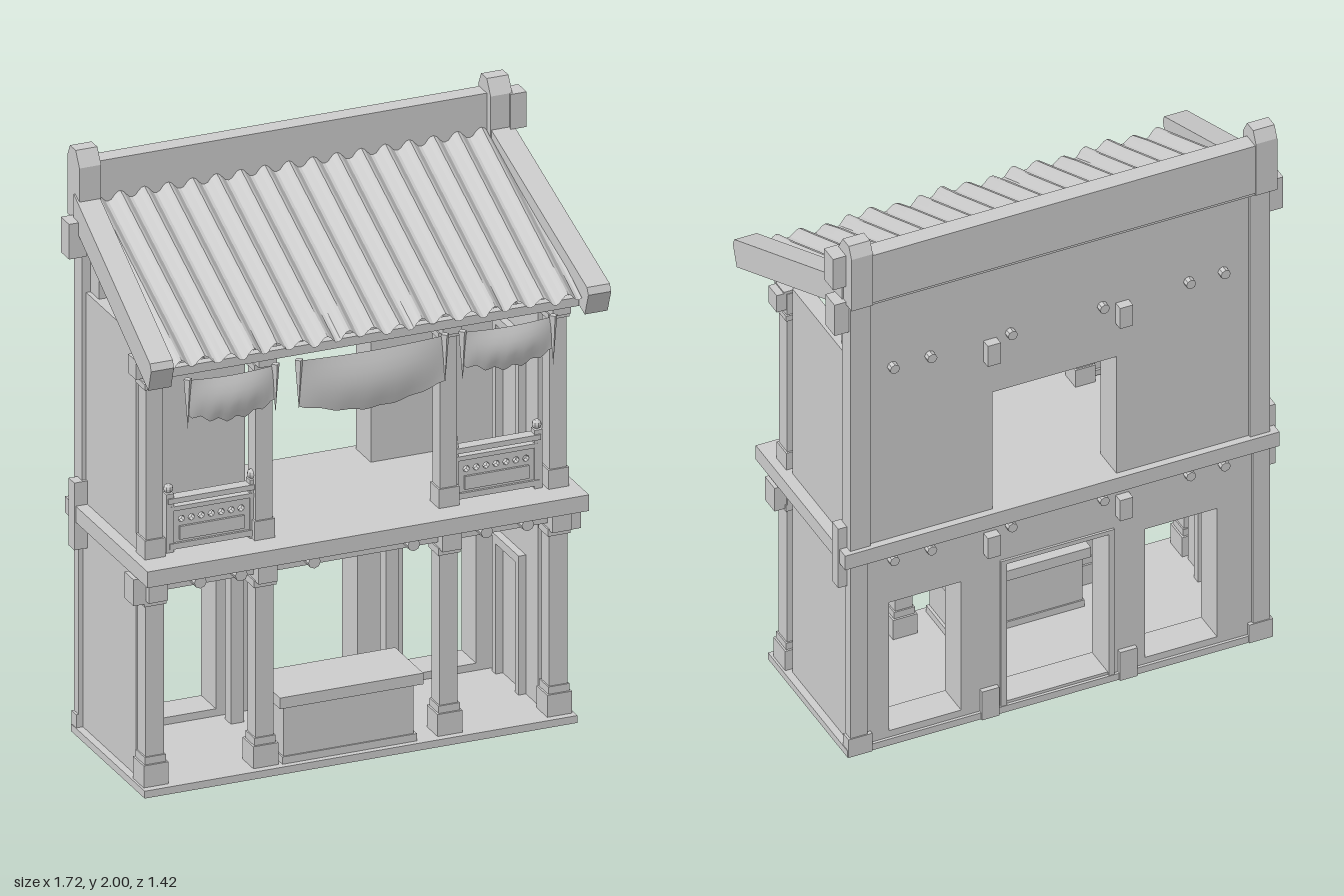
import * as THREE from 'three';

const plaster = new THREE.MeshStandardMaterial({ color: 0xcccccc, flatShading: true });
plaster.name = 'plain grey';
const cloth = new THREE.MeshStandardMaterial({ color: 0xcccccc, side: THREE.DoubleSide });
cloth.name = 'grey cloth';

export function createModel() {
  const root = new THREE.Group();
  root.name = 'twoStoreyHouse';
  const house = new THREE.Group();
  house.name = 'house';
  house.rotation.y = -Math.PI / 6;
  root.add(house);

  const add = (name, geo, mat = plaster) => {
    const m = new THREE.Mesh(geo, mat);
    m.name = name;
    house.add(m);
    return m;
  };
  // box given by its min and max on each axis
  const box = (name, x0, x1, y0, y1, z0, z1) => {
    const m = add(name, new THREE.BoxGeometry(x1 - x0, y1 - y0, z1 - z0));
    m.position.set((x0 + x1) / 2, (y0 + y1) / 2, (z0 + z1) / 2);
    return m;
  };
  const block = (name, x, z, w, d, y0, y1) => box(name, x - w / 2, x + w / 2, y0, y1, z - d / 2, z + d / 2);
  // extrusion of a (z, y) side profile across x0..x1, splayed outwards towards the front
  const sideExtrude = (name, pts, x0, x1, splay = 0) => {
    const s = new THREE.Shape(pts.map(([z, y]) => new THREE.Vector2(-z, y)));
    const g = new THREE.ExtrudeGeometry(s, { depth: x1 - x0, bevelEnabled: false });
    g.rotateY(Math.PI / 2);
    g.translate(x0, 0, 0);
    const p = g.attributes.position;
    for (let i = 0; i < p.count; i++) p.setX(i, p.getX(i) + splay * p.getZ(i));
    return add(name, g);
  };

  // floors
  box('groundSlab', -0.74, 0.74, 0, 0.025, -0.37, 0.205);
  box('balconySlab', -0.755, 0.755, 0.745, 0.8, -0.385, 0.262);

  // back wall with door, side openings and upper window
  const wall = new THREE.Shape();
  wall.moveTo(-0.7, 0.02).lineTo(0.7, 0.02).lineTo(0.7, 1.755).lineTo(-0.7, 1.755).closePath();
  for (const [x0, x1, y0, y1] of [[0.34, 0.59, 0.05, 0.55], [-0.17, 0.185, 0.035, 0.58], [-0.55, -0.3, 0.05, 0.55], [-0.2, 0.23, 0.8, 1.255]]) {
    const h = new THREE.Path();
    h.moveTo(x0, y0).lineTo(x0, y1).lineTo(x1, y1).lineTo(x1, y0).closePath();
    wall.holes.push(h);
  }
  add('backWall', new THREE.ExtrudeGeometry(wall, { depth: 0.115, bevelEnabled: false })).position.z = -0.36;

  // door frame on the back
  box('doorFrame', -0.19, 0.205, 0.575, 0.59, -0.368, -0.35);
  for (const x of [-0.18, 0.195]) box('doorFrame', x - 0.01, x + 0.01, 0.02, 0.58, -0.368, -0.35);
  for (const x of [-0.235, 0.245]) block('backPlinth', x, -0.362, 0.06, 0.03, 0.0, 0.11);

  // joist ends on the back
  for (const y of [0.72, 1.47]) {
    for (const x of [-0.22, 0.24]) block('backJoist', x, -0.37, 0.045, 0.045, y - 0.085, y - 0.005);
    for (const x of [-0.57, -0.45, -0.15, 0.17, 0.45, 0.58]) {
      const g = new THREE.CylinderGeometry(0.017, 0.017, 0.03, 8).rotateX(Math.PI / 2);
      add('backLogEnd', g).position.set(x, y, -0.367);
    }
  }

  for (const s of [-1, 1]) {
    const bx = (name, a, b, ...r) => box(name, Math.min(s * a, s * b), Math.max(s * a, s * b), ...r);
    // side walls and back corner posts
    bx('sideWall', 0.66, 0.715, 0.02, 1.52, -0.36, 0.08);
    bx('lowerCornerPost', 0.67, 0.73, 0.0, 0.75, -0.37, -0.335);
    bx('upperCornerPost', 0.66, 0.73, 0.79, 1.765, -0.37, -0.31);
    bx('cornerPostFoot', 0.655, 0.738, 0.0, 0.07, -0.374, -0.335);
    // inner door frame on the side wall
    for (const y of [0.02, 0.8]) {
      const h = y < 0.5 ? 0.47 : 1.22;
      for (const z of [-0.21, -0.03]) bx('innerJamb', 0.635, 0.66, y, h, z - 0.015, z + 0.015);
      bx('innerLintel', 0.635, 0.66, h, h + 0.03, -0.225, -0.015);
    }
    // projecting beam ends
    bx('beamEnd', 0.7, 0.765, 0.65, 0.74, 0.105, 0.175);
    bx('beamEnd', 0.7, 0.755, 1.42, 1.485, 0.11, 0.17);
    bx('backBeamEnd', 0.71, 0.76, 0.65, 0.88, -0.345, -0.3);
    bx('backBeamEnd', 0.72, 0.78, 1.65, 1.77, -0.36, -0.295);
    // sloping gable border
    sideExtrude('gableBorder', [[-0.34, 1.85], [0.352, 1.553], [0.362, 1.53], [0.337, 1.455], [-0.34, 1.745]], s > 0 ? 0.687 : -0.765, s > 0 ? 0.765 : -0.687, s * 0.06);
    // ridge end post with chamfered head
    sideExtrude('ridgePost', [[-0.4, 1.76], [-0.4, 1.96], [-0.38, 2], [-0.335, 2], [-0.305, 1.95], [-0.305, 1.76]], s * 0.703 - 0.037, s * 0.703 + 0.037);
  }
  box('ridgeBeamEnd', 0.73, 0.785, 1.83, 1.95, -0.36, -0.295);

  // ridge beam
  box('ridgeBeam', -0.72, 0.72, 1.765, 1.95, -0.395, -0.335);
  box('ridgeFoot', -0.72, 0.72, 1.75, 1.775, -0.385, -0.3);

  // ribbed tile roof: an open sheet with scalloped section running down the slope
  const ribs = 17, steps = 8;
  const roofGeo = new THREE.PlaneGeometry(1.4, 0.67, ribs * steps, 6).rotateX(-Math.PI / 2);
  const rp = roofGeo.attributes.position;
  for (let i = 0; i < rp.count; i++) {
    const x = rp.getX(i), z = rp.getZ(i);
    const t = ((i % (ribs * steps + 1)) / steps) % 1;
    const h = t < 0.7 ? 0.025 * Math.sin((Math.PI * t) / 0.7) : -0.004 * Math.sin((Math.PI * (t - 0.7)) / 0.3);
    const ragged = z > 0.3 ? 0.01 * Math.sin(x * 23) : 0;
    rp.setXYZ(i, x, h + 1.812 - 0.45 * (z + 0.335), z + ragged);
  }
  roofGeo.computeVertexNormals();
  add('tileRoof', roofGeo);

  // beams under the eave
  box('wallPlate', -0.73, 0.73, 1.43, 1.49, 0.11, 0.17);
  box('eavePurlin', -0.7, 0.7, 1.475, 1.505, 0.28, 0.31);

  // front columns on both floors
  for (const x of [-0.69, -0.315, 0.315, 0.69]) {
    const z = 0.138;
    block('columnFoot', x, z, 0.085, 0.085, 0.02, 0.1);
    block('columnFootTop', x, z, 0.072, 0.072, 0.1, 0.125);
    block('lowerColumn', x, z, 0.062, 0.062, 0.12, 0.66);
    block('columnCollar', x, z, 0.076, 0.076, 0.64, 0.665);
    block('columnHead', x, z + 0.01, 0.066, 0.1, 0.66, 0.75);
    block('upperColumnFoot', x, z, 0.07, 0.07, 0.8, 0.865);
    block('upperColumn', x, z, 0.058, 0.058, 0.86, 1.45);
    block('upperCollar', x, z, 0.072, 0.072, 1.38, 1.4);
    block('upperColumnHead', x, z + 0.015, 0.062, 0.09, 1.4, 1.48);
  }
  box('floorBeam', -0.73, 0.73, 0.68, 0.75, 0.115, 0.16);
  // round log ends in front
  for (const y of [0.718, 1.468]) {
    for (const x of [-0.56, -0.42, -0.17, 0.17, 0.42, 0.56]) {
      const g = new THREE.CylinderGeometry(0.021, 0.021, 0.1, 8).rotateX(Math.PI / 2);
      add('frontLogEnd', g).position.set(x, y, 0.18);
    }
  }

  // balcony railings with pierced panels
  for (const s of [-1, 1]) {
    const c = s * 0.487, z = 0.137;
    const panel = new THREE.Shape();
    panel.moveTo(-0.135, 0.825).lineTo(0.135, 0.825).lineTo(0.135, 0.945).lineTo(-0.135, 0.945).closePath();
    for (let i = -3; i <= 3; i++) {
      const h = new THREE.Path();
      h.absarc(i * 0.034, 0.908, 0.011, 0, Math.PI * 2, true);
      panel.holes.push(h);
    }
    const g = new THREE.ExtrudeGeometry(panel, { depth: 0.02, bevelEnabled: false, curveSegments: 4 });
    add('railPanel', g).position.set(c, 0, z - 0.01);
    box('railFrame', c - 0.11, c + 0.11, 0.84, 0.885, z + 0.01, z + 0.018);
    box('lowerRail', c - 0.145, c + 0.145, 0.81, 0.83, z - 0.018, z + 0.018);
    box('midRail', c - 0.145, c + 0.145, 0.94, 0.955, z - 0.016, z + 0.016);
    box('topRail', c - 0.15, c + 0.15, 0.967, 0.985, z - 0.02, z + 0.02);
    for (const e of [-1, 1]) {
      block('railPost', c + e * 0.143, z, 0.026, 0.03, 0.8, 1.0);
      add('railKnob', new THREE.SphereGeometry(0.016, 8, 6)).position.set(c + e * 0.143, 1.015, z);
    }
  }

  // sagging cloths hung below the eave
  for (const [x0, x1, drop, fray] of [[-0.63, -0.33, 0.15, 0.007], [-0.25, 0.25, 0.195, 0.003], [0.31, 0.62, 0.14, 0.007]]) {
    const g = new THREE.PlaneGeometry(1, 1, 20, 6);
    const p = g.attributes.position;
    for (let i = 0; i < p.count; i++) {
      const u = p.getX(i) + 0.5, v = 0.5 - p.getY(i), sag = Math.sin(Math.PI * u);
      const len = drop * (0.8 + 0.2 * sag) + v * fray * Math.sin(u * 31);
      p.setXYZ(i, x0 + (x1 - x0) * u, 1.445 - 0.008 * sag - v * len, 0.29 + 0.02 * Math.sin(Math.PI * v) * sag);
    }
    g.computeVertexNormals();
    add('awningCloth', g, cloth);
    // loose tails at the cloth corners
    for (const x of [x0, x1]) {
      const t = add('clothTail', new THREE.ConeGeometry(0.014, 0.17, 4).rotateX(Math.PI));
      t.position.set(x, 1.365, 0.29);
    }
  }

  // shop counter
  box('counterBody', -0.255, 0.19, 0.045, 0.225, 0.0, 0.18);
  box('counterFoot', -0.26, 0.2, 0.02, 0.05, -0.005, 0.185);
  box('counterTop', -0.275, 0.215, 0.222, 0.26, -0.02, 0.2);

  // inner frame of the ground floor
  box('innerBeam', -0.66, 0.66, 0.575, 0.62, -0.21, -0.17);
  for (const x of [-0.26, 0.27]) block('innerPost', x, -0.19, 0.045, 0.045, 0.02, 0.75);

  return root;
}
